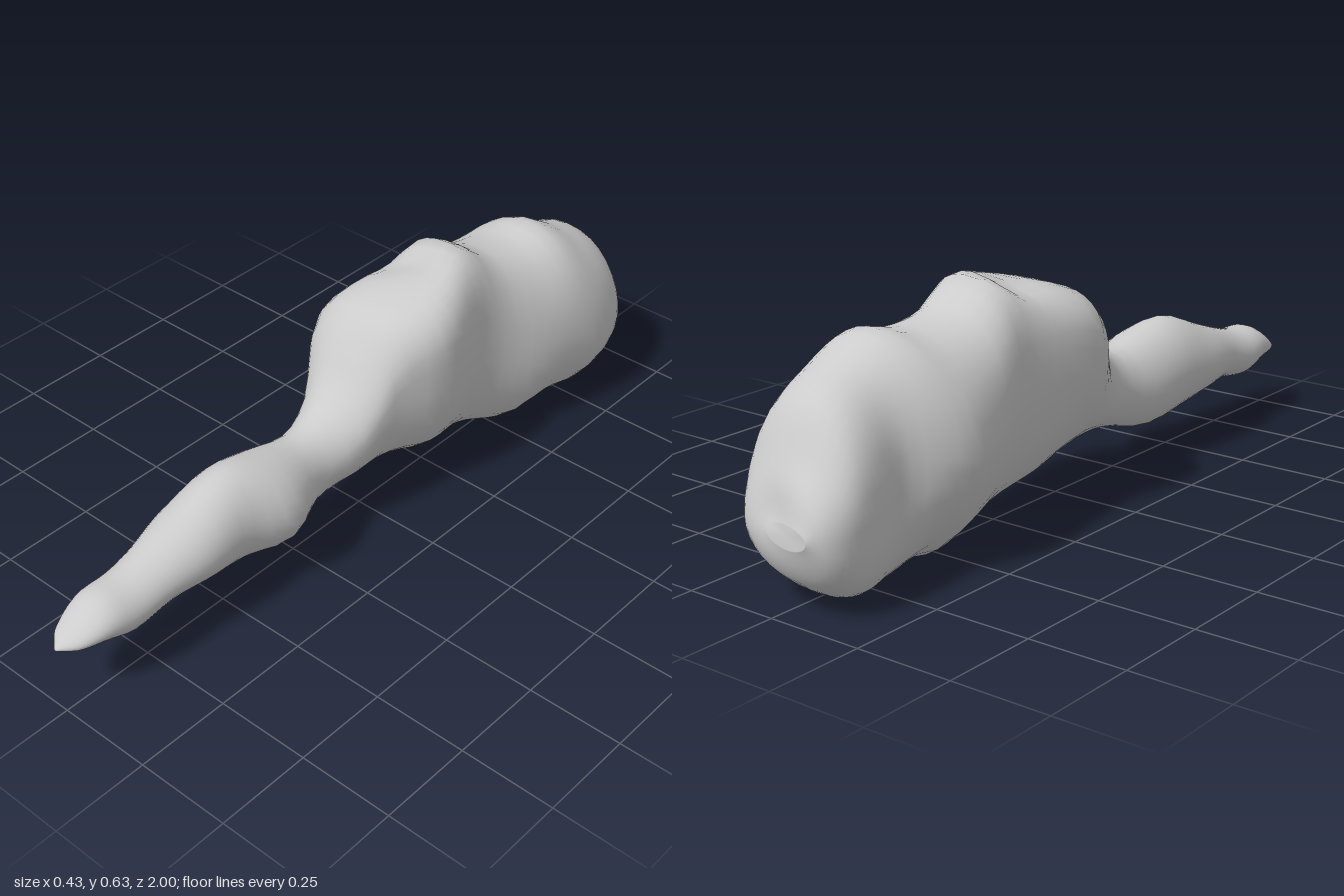
import * as THREE from 'three';

// Smooth curve through [z, value] keys, sorted from the tip (z = 1) to the rear (z = -1)
function profile(keys) {
  const slope = (i) => {
    const a = keys[Math.max(i - 1, 0)], b = keys[Math.min(i + 1, keys.length - 1)];
    return (b[1] - a[1]) / (b[0] - a[0]);
  };
  return (z) => {
    let i = 0;
    while (i < keys.length - 2 && z < keys[i + 1][0]) i++;
    const [z0, v0] = keys[i], [z1, v1] = keys[i + 1];
    const h = z1 - z0, t = THREE.MathUtils.clamp((z - z0) / h, 0, 1);
    const t2 = t * t, t3 = t2 * t;
    return v0 * (2 * t3 - 3 * t2 + 1) + h * slope(i) * (t3 - 2 * t2 + t)
      + v1 * (3 * t2 - 2 * t3) + h * slope(i + 1) * (t3 - t2);
  };
}

// Outline of the body along its length
const top = profile([[1, 0.185], [0.97, 0.205], [0.88, 0.26], [0.8, 0.265], [0.72, 0.285], [0.6, 0.325],
  [0.46, 0.373], [0.34, 0.355], [0.2, 0.332], [0.07, 0.41], [0, 0.53], [-0.07, 0.57], [-0.22, 0.61],
  [-0.34, 0.632], [-0.43, 0.573], [-0.56, 0.55], [-0.65, 0.567], [-0.74, 0.52], [-0.87, 0.45],
  [-0.93, 0.35], [-0.98, 0.28], [-1, 0.22]]);
const bottom = profile([[1, 0.178], [0.96, 0.165], [0.9, 0.155], [0.82, 0.13], [0.68, 0.145], [0.5, 0.12],
  [0.34, 0.1], [0.2, 0.13], [0.1, 0.145], [-0.06, 0.14], [-0.18, 0.1], [-0.35, 0.065], [-0.52, 0.003],
  [-0.62, 0.02], [-0.73, 0.01], [-0.88, 0.03], [-0.95, 0.075], [-0.98, 0.12], [-1, 0.17]]);
const rightSide = profile([[1, -0.02], [0.96, -0.06], [0.86, -0.085], [0.72, -0.09], [0.6, -0.115],
  [0.46, -0.118], [0.34, -0.112], [0.2, -0.09], [0.08, -0.115], [0, -0.165], [-0.07, -0.187], [-0.3, -0.157],
  [-0.42, -0.185], [-0.56, -0.214], [-0.64, -0.185], [-0.72, -0.145], [-0.84, -0.168], [-0.92, -0.17],
  [-0.97, -0.15], [-1, -0.11]]);
const leftSide = profile([[1, -0.01], [0.96, 0.03], [0.88, 0.06], [0.72, 0.068], [0.6, 0.085], [0.46, 0.085],
  [0.35, 0.118], [0.2, 0.065], [0.08, 0.1], [-0.02, 0.125], [-0.15, 0.168], [-0.33, 0.128], [-0.42, 0.135],
  [-0.56, 0.183], [-0.72, 0.214], [-0.82, 0.2], [-0.9, 0.165], [-0.95, 0.125], [-0.98, 0.08], [-1, 0.02]]);

// Fraction of the height at which a section is widest, and x of its ridge and keel
const waist = profile([[1, 0.5], [0.2, 0.5], [0, 0.64], [-0.15, 0.68], [-0.35, 0.58], [-0.6, 0.52],
  [-0.85, 0.46], [-1, 0.5]]);
const ridge = profile([[1, -0.015], [0.2, -0.015], [0, -0.03], [-0.2, 0.04], [-0.33, 0.005], [-0.6, 0.02],
  [-0.8, 0.02], [-1, -0.05]]);
const keel = profile([[1, -0.015], [0, -0.015], [-0.6, -0.01], [-0.85, -0.04], [-1, -0.05]]);

// Superellipse exponents of the upper half, the lower right quarter and the lower left quarter
const upperFullness = profile([[1, 2], [0.1, 2], [-0.06, 2.6], [-0.33, 2.6], [-0.5, 2.2], [-1, 2.1]]);
const lowerRightFullness = profile([[1, 2], [0.1, 2], [-0.3, 2], [-0.56, 1.6], [-0.72, 2.4], [-0.86, 3.2],
  [-0.95, 2.5], [-1, 2]]);
const lowerLeftFullness = profile([[1, 2], [0.2, 2], [-0.1, 2.3], [-0.4, 2.1], [-1, 2]]);

const SIDES = 32, RINGS = 72;

// Gaussian bump falling off with the offsets a and b
const bump = (a, b, radius) => Math.exp(-(a * a + b * b) / (radius * radius));

// One closed cross-section: four superellipse quarters meeting at the outline
function section(z) {
  const yt = top(z), yb = bottom(z), yw = yb + (yt - yb) * waist(z);
  const xr = rightSide(z), xl = leftSide(z), points = [];
  for (let j = 0; j < SIDES; j++) {
    const a = (j / SIDES) * Math.PI * 2, c = Math.cos(a), s = Math.sin(a);
    const upper = s > 0;
    const fullness = upper ? upperFullness : c < 0 ? lowerRightFullness : lowerLeftFullness;
    const e = 2 / fullness(z);
    const mid = upper ? ridge(z) : keel(z);
    const x = mid + ((c > 0 ? xl : xr) - mid) * Math.abs(c) ** e;
    let y = yw + ((upper ? yt : yb) - yw) * Math.abs(s) ** e;
    // hollow on top of the front hump
    if (upper) y -= 0.025 * bump(x + 0.06, z + 0.25, 0.055);
    points.push(new THREE.Vector3(x, y, z));
  }
  return points;
}

function centre(points) {
  return points.reduce((sum, p) => sum.add(p), new THREE.Vector3()).divideScalar(points.length);
}

function bodyGeometry() {
  const rings = [];
  for (let i = 0; i <= RINGS; i++) rings.push(section(Math.cos((i / RINGS) * Math.PI)));
  const points = rings.flat(), index = [];
  for (let i = 0; i < RINGS; i++) {
    for (let j = 0; j < SIDES; j++) {
      const k = (j + 1) % SIDES, a = i * SIDES, b = a + SIDES;
      index.push(a + j, b + j, a + k, a + k, b + j, b + k);
    }
  }
  // tip and rear centre points
  const tip = points.length, rear = tip + 1, end = RINGS * SIDES;
  points.push(centre(rings[0]), centre(rings[RINGS]));
  for (let j = 0; j < SIDES; j++) {
    const k = (j + 1) % SIDES;
    index.push(tip, j, k, rear, end + k, end + j);
  }
  // shallow dent in the rear, beside its outermost lump
  for (const p of points) {
    const fade = 1 - THREE.MathUtils.smoothstep(p.z, -0.97, -0.85);
    p.z += 0.025 * fade * bump(p.x - 0.02, p.y - 0.24, 0.075);
  }
  const geometry = new THREE.BufferGeometry().setFromPoints(points);
  geometry.setIndex(index);
  geometry.computeVertexNormals();
  return geometry;
}

export function createModel() {
  const group = new THREE.Group();
  group.name = 'lumpyTaperedForm';
  const body = new THREE.Mesh(bodyGeometry(), new THREE.MeshStandardMaterial({ color: 0xcccccc }));
  body.name = 'body';
  group.add(body);
  return group;
}
